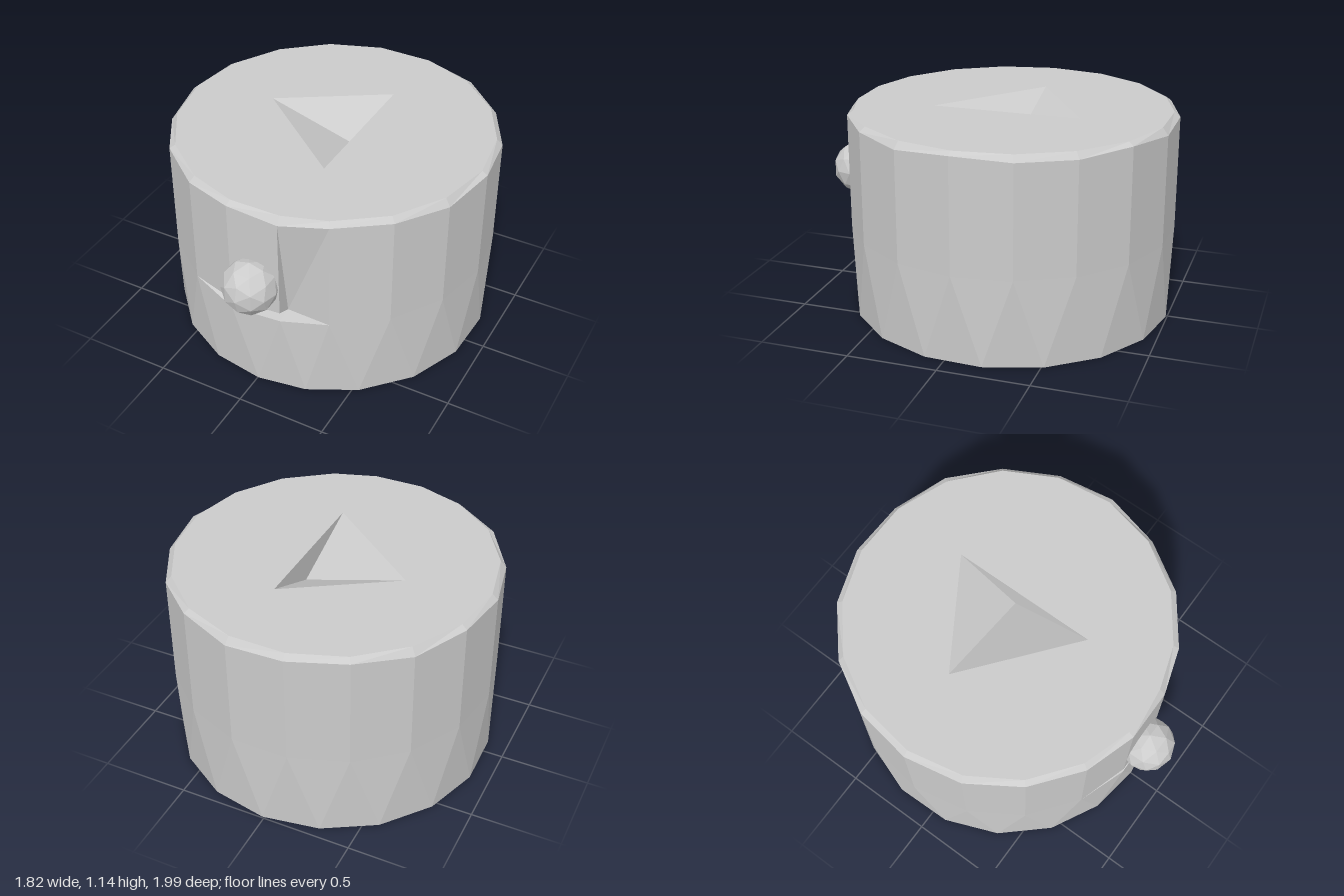
import * as THREE from 'three';

const CZ = -0.09, R = 0.91, TOP = 1.145;

// Point on a ring around the body axis; angle in degrees from +z towards +x
const ring = (deg, y, r = R) => {
  const a = THREE.MathUtils.degToRad(deg);
  return [r * Math.sin(a), y, CZ + r * Math.cos(a)];
};

export function createModel() {
  const group = new THREE.Group();
  const material = new THREE.MeshStandardMaterial({ color: 0xcccccc, flatShading: true });

  const add = (name, geometry) => {
    const mesh = new THREE.Mesh(geometry, material);
    mesh.name = name;
    group.add(mesh);
    return mesh;
  };
  const addFaces = (name, tris) => {
    const g = new THREE.BufferGeometry();
    g.setAttribute('position', new THREE.Float32BufferAttribute(tris.flat(2), 3));
    g.computeVertexNormals();
    return add(name, g);
  };

  // Columns: three around the front notch, then even steps around the body
  const angles = [-27.5, -9, 9.5];
  for (let i = 0; i < 15; i++) angles.push(26 + i * 20.43);
  const n = angles.length;
  const next = i => (i + 1) % n;
  const midAngle = i => (angles[i] + (i === n - 1 ? 332.5 : angles[i + 1])) / 2;

  const lowerY = [0.49, 0.45, 0.475];
  const upperY = [0.49, 0.51, 0.53];
  const base = angles.map((a, i) => ring(midAngle(i), 0, 0.903));
  const lower = angles.map((a, i) => ring(a, lowerY[i] ?? 0.49));
  const upper = angles.map((a, i) => ring(a, upperY[i] ?? 0.49));
  const rim = angles.map((a, i) => ring(a, 1.115 + 0.012 * Math.sin(i * 2.3)));
  const edge = angles.map(a => ring(a, TOP, 0.878));
  const notch = [0.15, 0.49, 0.72];

  const lowerTris = [], upperTris = [], rimTris = [], bottomTris = [];
  for (let i = 0; i < n; i++) {
    const j = next(i);
    lowerTris.push([lower[i], base[i], lower[j]], [base[i], base[j], lower[j]]);
    // the panel right of the notch leans in to the notch point
    const corner = i === 2 ? notch : upper[i];
    upperTris.push([corner, upper[j], rim[j]], [corner, rim[j], rim[i]]);
    rimTris.push([rim[i], rim[j], edge[j]], [rim[i], edge[j], edge[i]]);
    bottomTris.push([[0, 0, CZ], base[j], base[i]]);
  }
  addFaces('lowerWall', lowerTris);
  addFaces('upperWall', upperTris);
  addFaces('rimChamfer', rimTris);
  addFaces('bottom', bottomTris);

  // Front notch: floor, overhang underside and side step
  addFaces('frontNotch', [
    [lower[0], lower[1], notch], [lower[1], lower[2], notch], [lower[2], upper[3], notch],
    [upper[0], notch, upper[1]], [upper[1], notch, upper[2]],
    [notch, rim[2], upper[2]],
  ]);

  // Top face with a triangular opening
  const A = [-0.43, TOP, -0.15], B = [0.15, TOP, -0.51], C = [0.15, TOP, 0.32];
  const D = [0.15, TOP - 0.165, -0.15];
  const flat = p => new THREE.Vector2(p[0], -p[2]);
  const shape = new THREE.Shape(edge.map(flat));
  shape.holes.push(new THREE.Path([A, B, C].map(flat)));
  const top = add('topFace', new THREE.ShapeGeometry(shape).rotateX(-Math.PI / 2));
  top.position.y = TOP;

  // Sloping recess below the opening
  addFaces('topRecess', [[A, C, D], [A, D, B], [B, D, C]]);

  // Faceted knob set into the front
  const knob = add('knob', new THREE.IcosahedronGeometry(0.153, 1));
  knob.position.set(0.003, 0.69, 0.847);

  return group;
}
